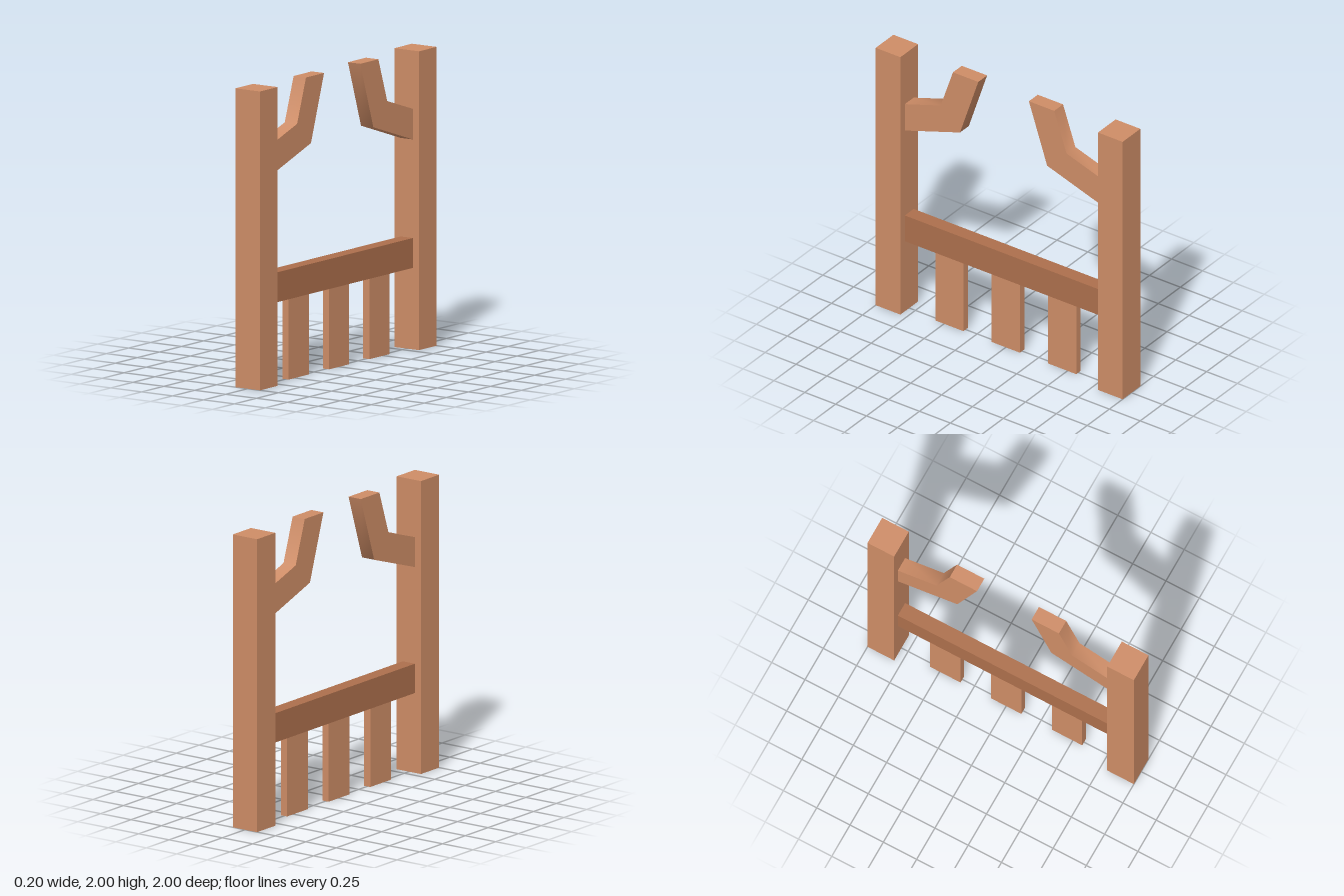
import * as THREE from 'three';
import { toCreasedNormals } from 'three/addons/utils/BufferGeometryUtils.js';

const lightWood = new THREE.MeshStandardMaterial({ color: 0xcd8c66 });
const darkWood = new THREE.MeshStandardMaterial({ color: 0xac6f4c });

// A board standing on height y, centred on x = 0
function board(name, material, width, height, depth, y, z) {
  const mesh = new THREE.Mesh(new THREE.BoxGeometry(width, height, depth), material);
  mesh.name = name;
  mesh.position.set(0, y + height / 2, z);
  return mesh;
}

// Bent brace: profile in (z, y), extruded across x
function braceGeometry(thickness) {
  const profile = [[0.8, 1.405], [0.8, 1.61], [0.51, 1.705], [0.41, 2], [0.205, 2], [0.353, 1.553]];
  const shape = new THREE.Shape(profile.map(([z, y]) => new THREE.Vector2(z, y)));
  const geometry = new THREE.ExtrudeGeometry(shape, { depth: thickness, bevelEnabled: false });
  geometry.translate(0, 0, -thickness / 2);
  geometry.rotateY(-Math.PI / 2);
  return toCreasedNormals(geometry, 1.1); // soft at the bend, sharp elsewhere
}

export function createModel() {
  const model = new THREE.Group();
  model.name = 'woodenFrame';
  const brace = braceGeometry(0.1);

  // Posts and braces, mirrored front to back
  for (const [side, label] of [[1, 'front'], [-1, 'back']]) {
    model.add(board(label + 'Post', lightWood, 0.2, 2, 0.2, 0, side * 0.9));
    const arm = new THREE.Mesh(brace, lightWood);
    arm.name = label + 'Brace';
    if (side < 0) arm.rotation.y = Math.PI;
    model.add(arm);
  }

  // Cross rail with three thin slats below it
  model.add(board('rail', darkWood, 0.1, 0.2, 1.6, 0.545, 0));
  for (let i = -1; i <= 1; i++) {
    model.add(board('slat', lightWood, 0.05, 0.545, 0.228, 0, i * 0.457));
  }
  return model;
}
